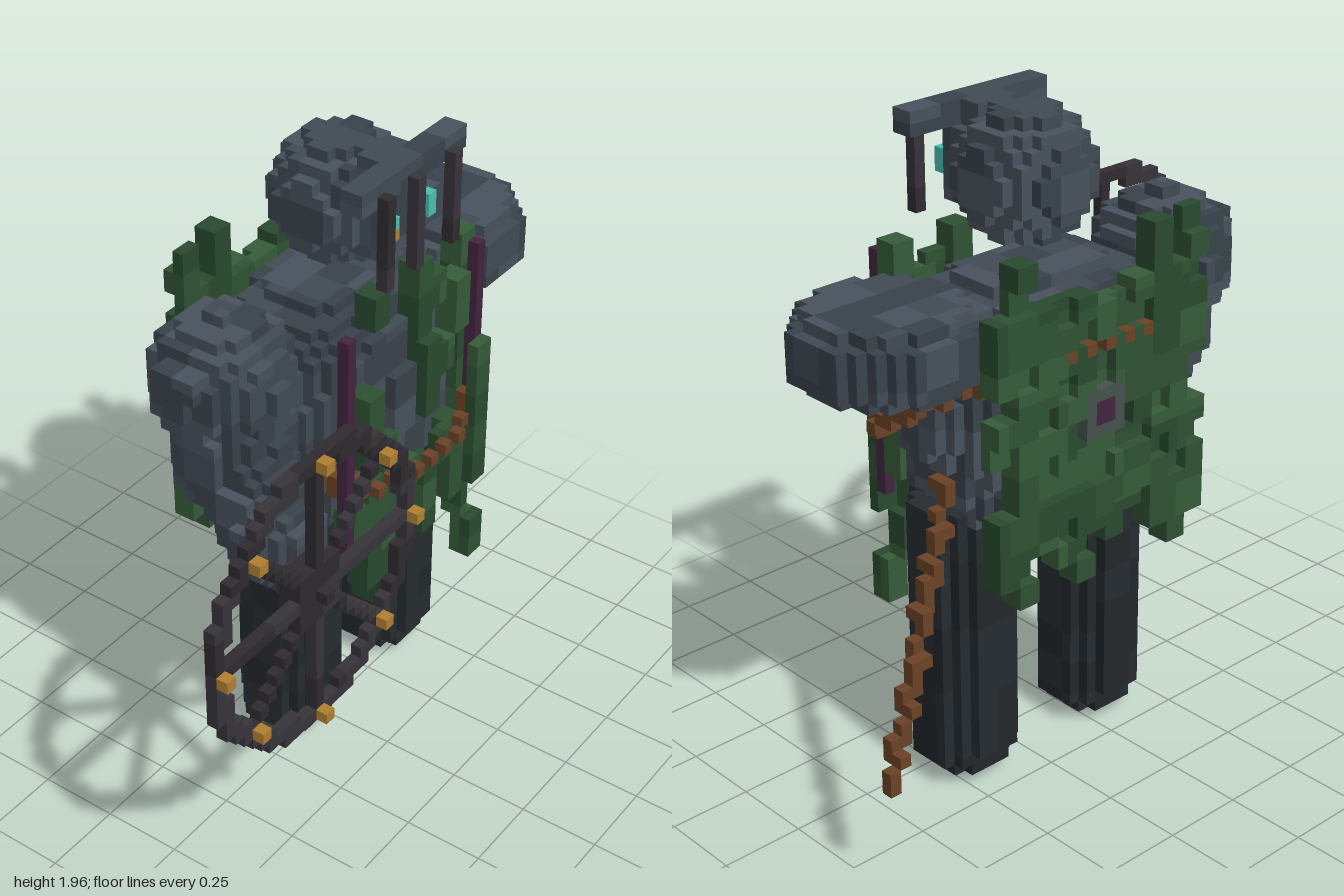
import * as THREE from 'three';

const U = 1 / 28; // size of one block
const STEEL = [0x414a54, 0x48525d, 0x39424b], DARK = [0x22272b, 0x262c30];
const GREEN = [0x2f5233, 0x365c3a, 0x294a2f], RUST = [0x6b4226], GOLD = [0xb08030];
const IRON = [0x2f2b30, 0x37333a], PURPLE = [0x43243f], TEAL = [0x4ac0b0];

// repeatable pseudo-random value for a cell
function hash(a, b, c) {
  let h = Math.imul(a + 101, 374761393) ^ Math.imul(b + 57, 668265263) ^ Math.imul(c + 31, 1274126177);
  h = Math.imul(h ^ (h >>> 13), 1103515245);
  return ((h ^ (h >>> 16)) >>> 0) / 4294967296;
}

// one mesh per shade, holding only the outward faces of the block list
function buildBlocks(name, colors, cells) {
  const group = new THREE.Group();
  group.name = name;
  const filled = new Map(cells.map((c) => [c.join(), c]));
  const shades = colors.map(() => []);
  for (const cell of filled.values()) {
    const patch = cell.map((v) => Math.floor(v / 3));
    const out = shades[Math.floor(hash(...patch) * colors.length)];
    for (let a = 0; a < 3; a++) {
      for (const s of [1, -1]) {
        const next = cell.slice();
        next[a] += s;
        if (filled.has(next.join())) continue;
        const b = (a + 1) % 3, c = (a + 2) % 3;
        const quad = [[0, 0], [1, 0], [1, 1], [0, 1]].map(([i, j]) => {
          const p = cell.slice();
          if (s > 0) p[a] += 1;
          p[b] += i;
          p[c] += j;
          return p.map((v) => v * U);
        });
        if (s < 0) quad.reverse();
        for (const k of [0, 1, 2, 0, 2, 3]) out.push(...quad[k]);
      }
    }
  }
  shades.forEach((pos, i) => {
    if (!pos.length) return;
    const geo = new THREE.BufferGeometry();
    geo.setAttribute('position', new THREE.Float32BufferAttribute(pos, 3));
    geo.computeVertexNormals();
    const mesh = new THREE.Mesh(geo, new THREE.MeshStandardMaterial({ color: colors[i] }));
    mesh.name = name;
    group.add(mesh);
  });
  return group;
}

// blocks in a box whose centres pass a test
function fill([x0, y0, z0], [x1, y1, z1], test = () => true) {
  const cells = [];
  for (let x = x0; x < x1; x++)
    for (let y = y0; y < y1; y++)
      for (let z = z0; z < z1; z++)
        if (test(x + 0.5, y + 0.5, z + 0.5)) cells.push([x, y, z]);
  return cells;
}

// rounded solid: exponent 2 is an ellipsoid, higher is boxier
function blob(c, r, ex = 2, ey = ex) {
  const lo = c.map((v, i) => Math.floor(v - r[i])), hi = c.map((v, i) => Math.ceil(v + r[i]));
  return fill(lo, hi, (x, y, z) =>
    Math.abs((x - c[0]) / r[0]) ** ex + Math.abs((y - c[1]) / r[1]) ** ey + Math.abs((z - c[2]) / r[2]) ** ex <= 1);
}

// blocks along a path given by a function of t in 0..1
function trace(fn, n) {
  const cells = [];
  for (let i = 0; i <= n; i++) cells.push(fn(i / n).map(Math.floor));
  return cells;
}

export function createModel() {
  const model = new THREE.Group();
  const add = (name, colors, ...lists) => model.add(buildBlocks(name, colors, lists.flat()));

  // head with a barred visor hanging from a brim
  add('head', STEEL, blob([5, 50, -2], [5.2, 5.2, 5.2]), fill([2, 47, 0], [8, 53, 4]));
  add('visorBrim', STEEL, fill([-2, 53, 3], [12, 55, 5]), fill([3, 53, 1], [7, 55, 3]));
  add('visorBars', IRON, ...[0, 4, 9].map((x) => fill([x, 46, 5], [x + 1, 54, 6])));
  add('eyes', TEAL, [[2, 50, 4]], fill([7, 49, 4], [8, 51, 5]));
  add('eyeGlow', GOLD, [[2, 49, 4]]);

  // torso
  add('torso', STEEL, blob([5, 32.5, -2.5], [10.2, 10.6, 6.6], 3.4), fill([2, 21, -6], [8, 26, 2]));
  add('bellyPlate', STEEL, fill([3, 30, 4], [9, 36, 5]));

  // round legs with narrowing feet
  for (const [name, cx] of [['rightLeg', -2], ['leftLeg', 12]]) {
    add(name, DARK, fill([cx - 4, 0, -6], [cx + 4, 25, 2], (x, y, z) => {
      const rx = y < 1 ? 2.1 : y < 2 ? 3.2 : 4.1, rz = y < 1 ? 1.4 : y < 3 ? 3.2 : 4.1;
      return Math.hypot((x - cx) / rx, (z + 2) / rz) <= 1;
    }));
  }

  // left shoulder and arm stump
  add('leftShoulder', STEEL, blob([19, 40, -2], [7.1, 3.1, 7.1], 2, 5));
  add('leftArmStump', STEEL, blob([13.5, 33, -3], [3.6, 5, 3.5]));

  // right shoulder and the arm reaching to the wheel
  add('rightShoulder', STEEL, blob([-9, 40, -3], [5.6, 5.6, 5.6]), fill([-15, 41, -5], [-13, 43, -1]));
  const forearm = [];
  for (let i = 0; i <= 4; i++) forearm.push(...blob([-9.5 - i * 0.4, 33 - i, -1 + i * 1.1], [3.9, 4, 3.9]));
  add('rightArm', STEEL, blob([-9, 34.5, -2], [5.1, 6.5, 4.6]), forearm);

  // spoked wheel
  const wx = -15.5, wy = 29.5;
  const disc = (z, test) => fill([-28, 17, z], [-3, 42, z + 1], (x, y) => test(Math.abs(x - wx), Math.abs(y - wy)));
  const hub = (r, z) => disc(z, (dx, dy) => Math.hypot(dx, dy) <= r);
  add('wheelRim', IRON, disc(10, (dx, dy) => Math.abs(Math.hypot(dx, dy) - 12) < 0.7));
  add('wheelSpokes', IRON, disc(10, (dx, dy) =>
    Math.hypot(dx, dy) <= 11.3 && Math.hypot(dx, dy) > 2.3 && (dx === 0 || dy === 0 || dx === dy)));
  add('wheelHub', IRON, hub(2.3, 10), hub(2.3, 9), hub(1, 8), hub(0.5, 11));
  const studs = [];
  for (const [i, j] of [[0, 12], [8, 8], [12, 0], [8, -8], [0, -12], [-8, -8], [-12, 0], [-8, 8]])
    studs.push([-16 + i, 29 + j, 11]);
  add('wheelStuds', GOLD, studs);

  // tilted chain around the waist, dotted across the front and the back
  const chain = trace((t) => {
    const a = t * Math.PI * 2, z = -1.5 + 9 * Math.cos(a);
    return [5 + 12.5 * Math.sin(a), 28 + (7.5 - z) * 0.61, z];
  }, 400).filter(([x, , z]) => Math.abs(z + 1.5) < 7 || x % 2 === 0);
  add('waistChain', RUST, chain);

  // ragged back cloak: a solid layer and an outer one of square tiles
  const chained = new Set(chain.map(String));
  const tops = [47, 43, 47, 43, 42, 42, 43, 43, 43, 47, 43];
  const hems = [21, 19, 21, 23, 21, 23, 19, 21, 23, 19, 21];
  const isPatch = (x, y) => x > 3 && x < 7 && y > 31 && y < 35;
  add('backCloak', GREEN, fill([-6, 19, -11], [16, 47, -9], (x, y, z) => {
    const col = Math.floor((x + 6) / 2), row = Math.floor((y + 1) / 2);
    if (y > tops[col] || y < hems[col] || chained.has([x, y, z].map(Math.floor).join())) return false;
    const tile = hash(col, row, 7);
    if ((col === 0 || col === 10) && y < 41 && tile < 0.2) return false;
    return z > -10 || (tile > 0.27 && !isPatch(x, y));
  }));
  const isClasp = (x, y) => Math.abs(x - 5) < 1 && Math.abs(y - 33) < 1;
  const patch = fill([3, 31, -11], [7, 35, -10], isPatch);
  add('cloakPatch', [0x46524e], patch.filter(([x, y]) => !isClasp(x + 0.5, y + 0.5)));
  add('cloakClasp', PURPLE, patch.filter(([x, y]) => isClasp(x + 0.5, y + 0.5)));

  // tattered strips on the front: x, bottom, width, top, back z, front z
  const strips = [
    [6, 38, 2, 45, 3, 5], [6, 31, 2, 38, 4, 6], [8, 40, 2, 43, 4, 5], [10, 37, 2, 42, 4, 6],
    [12, 25, 2, 45, 3, 5], [12, 21, 2, 35, 6, 7], [12, 13, 2, 17, 5, 7], [12, 17, 1, 21, 4, 6],
    [10, 20, 2, 28, 4, 6], [8, 25, 2, 28, 5, 6], [6, 19, 2, 26, 4, 6], [0, 42, 2, 45, 3, 5],
    [-2, 30, 2, 37, 4, 6], [-4, 22, 2, 27, 4, 6], [-2, 18, 2, 29, 4, 6], [0, 15, 2, 25, 3, 6],
    [0, 25, 2, 32, 5, 6], [2, 23, 2, 28, 4, 6], [4, 25, 1, 28, 5, 6], [8, 34, 2, 37, 4, 6],
  ];
  add('frontTatters', GREEN, ...strips.map(([x, y, w, top, z0, z1]) => fill([x, y, z0], [x + w, top, z1])));
  add('ribbons', PURPLE, ...[-5, 13].map((x) => fill([x, 23, 5], [x + 1, 44, 6])));

  // loose rope end trailing behind
  add('trailingRope', RUST, trace((t) => [16 + 11.9 * t, 28.9 - 19.5 * t, -5 - 6.9 * t], 60));

  return model;
}
